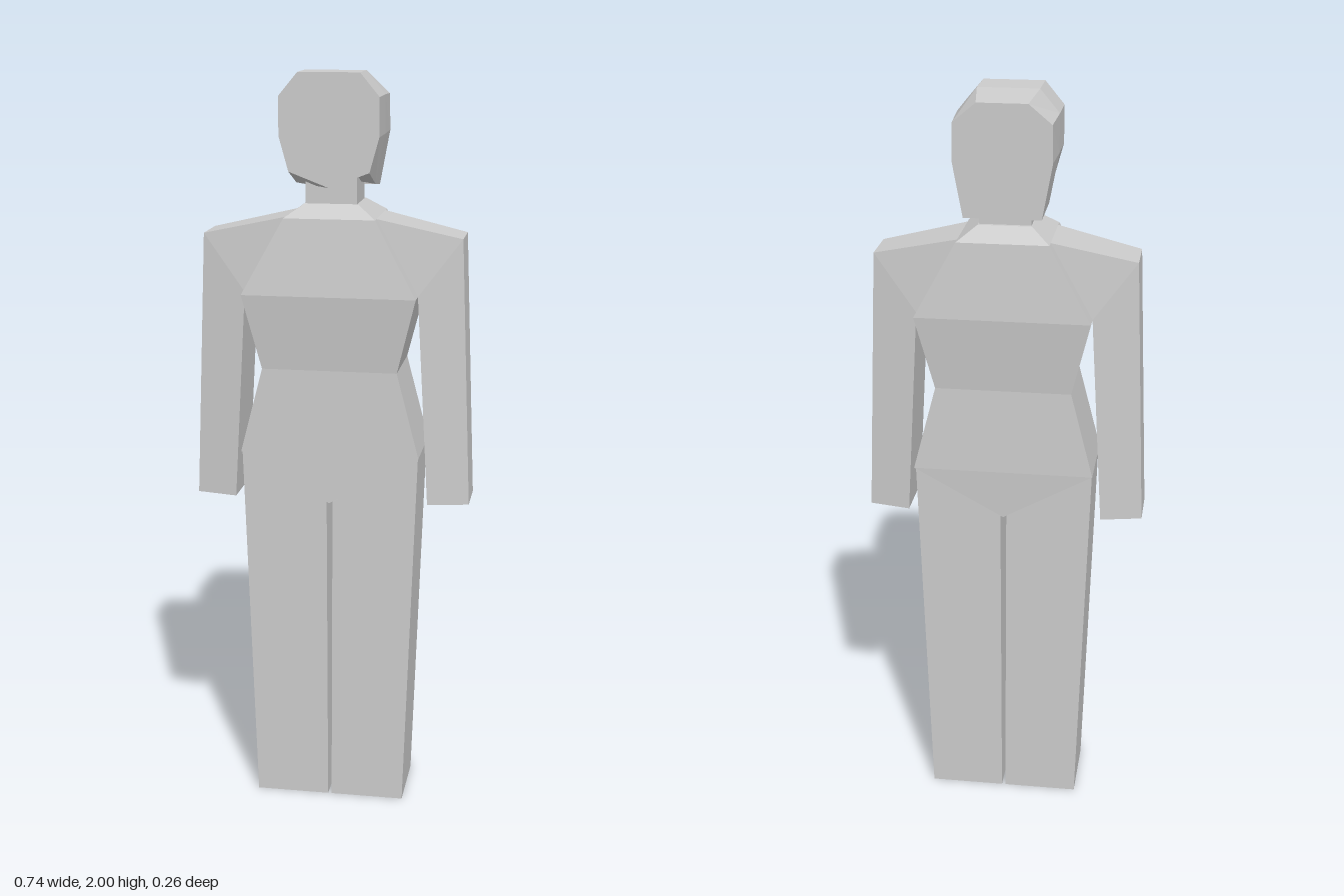
import * as THREE from 'three';

const material = new THREE.MeshStandardMaterial({ color: 0xcccccc, flatShading: true });

// Solid lofted through matching outlines ordered front to back. Each outline runs
// clockwise from its upper right; the caps join point i to point n-1-i in bands.
function loft(name, rings, mirror = false) {
  const n = rings[0].length;
  const index = [];
  const last = (rings.length - 1) * n;
  const tri = (a, b, c) => (mirror ? index.push(a, b, c) : index.push(a, c, b));
  for (let r = 0; r < last; r += n) {
    for (let i = 0; i < n; i++) {
      const j = (i + 1) % n;
      tri(r + i, r + n + j, r + j);
      tri(r + i, r + n + i, r + n + j);
    }
  }
  for (let i = 0, k = n - 1; k - i > 1; i++, k--) {
    const caps = k - i > 2 ? [[i, i + 1, k - 1], [i, k - 1, k]] : [[i, i + 1, k]];
    for (const [a, b, c] of caps) {
      tri(a, b, c);
      tri(last + a, last + c, last + b);
    }
  }
  const points = rings.flat().flatMap(([x, y, z]) => [mirror ? -x : x, y, z]);
  const geometry = new THREE.BufferGeometry();
  geometry.setAttribute('position', new THREE.Float32BufferAttribute(points, 3));
  geometry.setIndex(index);
  const flat = geometry.toNonIndexed();
  flat.computeVertexNormals();
  const mesh = new THREE.Mesh(flat, material);
  mesh.name = name;
  return mesh;
}

// Outline points [x, y, front z, back z] become a front and a back ring.
const slab = (name, pts, mirror) => loft(name, [2, 3].map(k => pts.map(p => [p[0], p[1], p[k]])), mirror);

// Completes a right half outline that ends on the centre line.
const symmetric = half => [...half, ...half.slice(0, -1).reverse().map(([x, ...rest]) => [-x, ...rest])];

export function createModel() {
  const model = new THREE.Group();
  model.name = 'figure';

  // Torso with sloped collar, narrow waist and pointed hips
  model.add(slab('torso', symmetric([
    [0.07, 1.665, 0.07, -0.07],
    [0.12, 1.63, 0.11, -0.118],
    [0.23, 1.43, 0.132, -0.133],
    [0.18, 1.23, 0.11, -0.11],
    [0.24, 1.0, 0.11, -0.117],
    [0, 0.865, 0.11, -0.11],
  ])));

  // Neck
  const neck = new THREE.Mesh(new THREE.BoxGeometry(0.135, 0.12, 0.13), material);
  neck.name = 'neck';
  neck.position.set(0, 1.71, 0.005);
  model.add(neck);

  // Head, faceted, with a pointed chin in front and a notch at the nape
  const head = [
    [0.11, [[0.08, 2.0], [0.13, 1.94], [0.13, 1.84], [0.105, 1.75], [0, 1.71]]],
    [0, [[0.08, 2.0], [0.13, 1.94], [0.13, 1.84], [0.105, 1.71], [0, 1.725]]],
    [-0.118, [[0.065, 1.985], [0.125, 1.935], [0.127, 1.84], [0.1, 1.695], [0, 1.735]]],
  ];
  model.add(loft('head', head.map(([z, half]) => symmetric(half).map(([x, y]) => [x, y, z]))));

  for (const [side, mirror] of [['left', false], ['right', true]]) {
    // Arm, thinner on its outer edge
    model.add(slab(side + 'Arm', [
      [0.343, 1.58, 0.06, -0.067],
      [0.372, 0.865, 0.06, -0.067],
      [0.262, 0.865, 0.083, -0.09],
      [0.23, 1.43, 0.083, -0.09],
      [0.12, 1.63, 0.083, -0.09],
    ], mirror));

    // Leg, with its top sloping up to the hip
    model.add(slab(side + 'Leg', [
      [0.238, 1.0, 0.102, -0.103],
      [0.205, 0, 0.102, -0.103],
      [0.005, 0, 0.102, -0.103],
      [0.008, 0.867, 0.102, -0.103],
    ], mirror));
  }
  return model;
}
